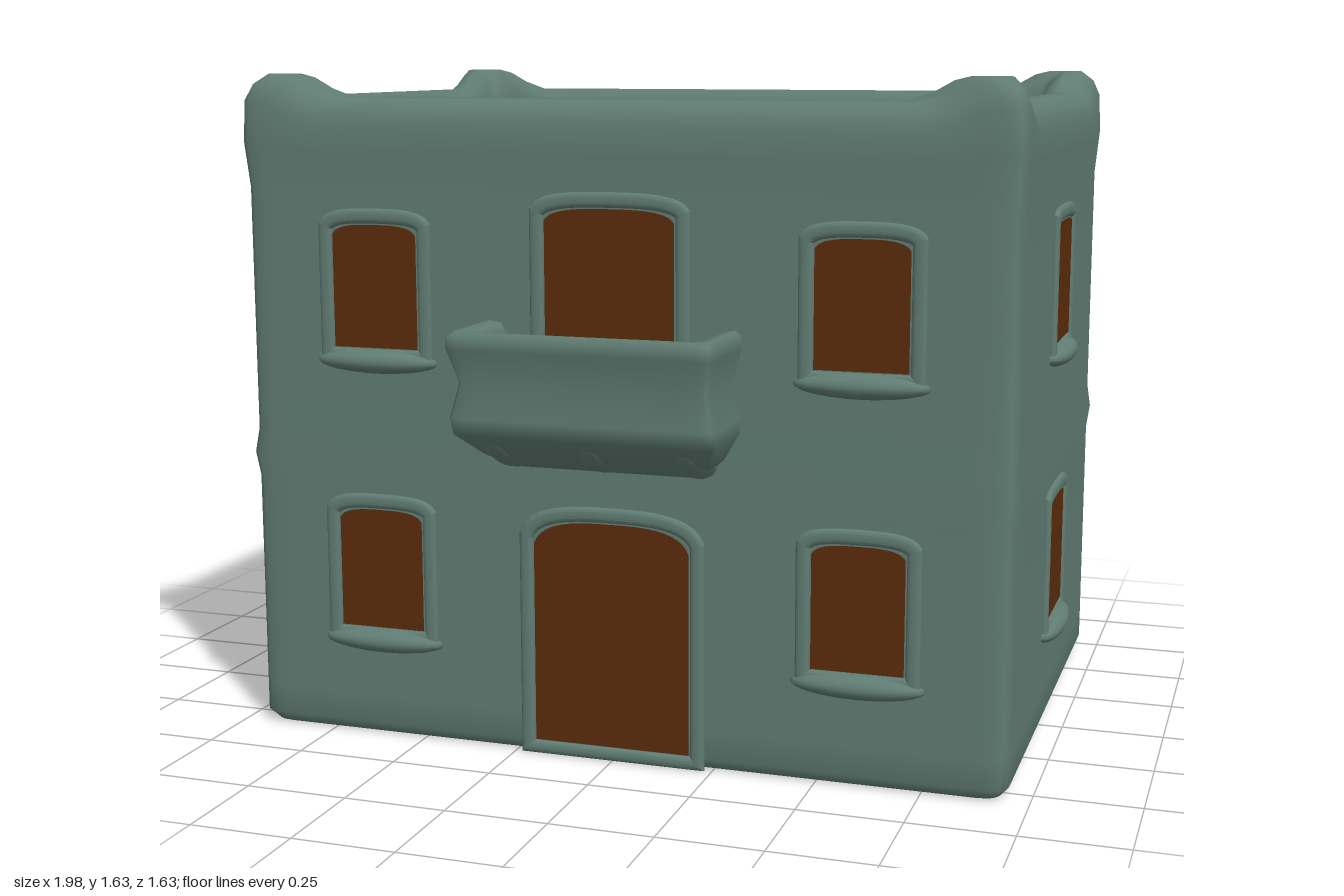
import * as THREE from 'three';

const stone = new THREE.MeshStandardMaterial({ color: 0x607c72 });
stone.name = 'greyGreenStone';
const brown = new THREE.MeshStandardMaterial({ color: 0x5b2b0b });
brown.name = 'brownOpening';

const add = (parent, name, geometry, material) => {
  const mesh = new THREE.Mesh(geometry, material);
  mesh.name = name;
  parent.add(mesh);
  return mesh;
};

// Skin over rounded-rectangle rings: { x, z: half sizes, y, cz: centre z, r: corner radius, lift }
function loft(rings, perSide = 28) {
  const pos = [], index = [], n = perSide * 4;
  for (const { x: hx, z: hz, y, cz = 0, r = 0.04, lift = 0 } of rings) {
    const rad = Math.min(r, hx, hz);
    for (let i = 0; i < n; i++) {
      const side = Math.floor(i / perSide);
      const t = Math.sin((((i % perSide) / perSide) * 2 - 1) * Math.PI / 2);
      const [u, v] = [[t, 1], [1, -t], [-t, -1], [-1, t]][side];
      const qx = u * hx, qz = v * hz;
      const px = THREE.MathUtils.clamp(qx, -hx + rad, hx - rad);
      const pz = THREE.MathUtils.clamp(qz, -hz + rad, hz - rad);
      const d = Math.hypot(qx - px, qz - pz);
      const k = d > 1e-6 ? rad / d : 0;
      // raised rim corners
      const corner = THREE.MathUtils.smoothstep(Math.abs(qx), hx - 0.19, hx - 0.05)
        * THREE.MathUtils.smoothstep(Math.abs(qz), hz - 0.19, hz - 0.05);
      pos.push(px + (qx - px) * k, y + lift * corner, cz + pz + (qz - pz) * k);
    }
  }
  for (let j = 0; j < rings.length - 1; j++) {
    for (let i = 0; i < n; i++) {
      const a = j * n + i, b = j * n + (i + 1) % n;
      index.push(a, b, a + n, b, b + n, a + n);
    }
  }
  const g = new THREE.BufferGeometry();
  g.setAttribute('position', new THREE.Float32BufferAttribute(pos, 3));
  g.setIndex(index);
  g.computeVertexNormals();
  return g;
}

// Opening outline with a shallow arched head
function outline(Type, w, y0, y1, arch) {
  const h = w / 2;
  const s = new Type();
  s.moveTo(-h, y0);
  s.lineTo(h, y0);
  s.lineTo(h, y1 - arch);
  s.bezierCurveTo(h * 0.9, y1, h * 0.4, y1, 0, y1);
  s.bezierCurveTo(-h * 0.4, y1, -h * 0.9, y1, -h, y1 - arch);
  s.closePath();
  return s;
}

// One opening on a wall whose plane is local z = 0
function opening(wall, name, x, w, y0, y1, arch, sill) {
  const g = new THREE.Group();
  g.name = name;
  g.position.x = x;
  wall.add(g);
  const pane = add(g, name + 'Panel', new THREE.ShapeGeometry(outline(THREE.Shape, w, y0, y1, arch)), brown);
  pane.position.z = 0.006;
  // low, softly bevelled surround
  const surround = outline(THREE.Shape, w + 0.045, y0 - 0.02, y1 + 0.024, arch);
  surround.holes.push(outline(THREE.Path, w + 0.036, y0 - 0.018, y1 + 0.018, arch));
  const frame = add(g, name + 'Surround', new THREE.ExtrudeGeometry(surround, {
    depth: 0.002, bevelEnabled: true, bevelThickness: 0.01, bevelSize: 0.015, bevelSegments: 4, curveSegments: 10,
  }), stone);
  frame.position.z = 0.001;
  if (sill) {
    const s = add(g, 'windowSill', new THREE.SphereGeometry(1, 20, 12), stone);
    s.scale.set(w / 2 + 0.05, 0.03, 0.042);
    s.position.y = y0 - 0.033;
  }
}

function makeWall(house, name, angle, distance) {
  const wall = new THREE.Group();
  wall.name = name;
  wall.rotation.y = angle;
  wall.position.set(Math.sin(angle) * distance, 0, Math.cos(angle) * distance);
  house.add(wall);
  return wall;
}

export function createModel() {
  const model = new THREE.Group();
  model.name = 'house';
  const house = new THREE.Group();
  house.name = 'building';
  house.position.z = -0.1;
  model.add(house);

  // Hollow upper storey, open at the top: [side inset, front and back inset, y, corner lift]
  const shell = [
    [0.68, 0.68, 0, 0], [0.06, 0.06, 0, 0], [0.02, 0.02, 0.003, 0], [0, 0, 0.03, 0], [0, 0, 0.1, 0],
    [0, 0, 0.64, 0], [-0.008, -0.008, 0.7, 0], [0, 0, 0.76, 0], [0, 0, 1.36, 0],
    [-0.01, -0.008, 1.45, 0.02], [-0.006, -0.006, 1.52, 0.05], [0.01, 0.01, 1.555, 0.055],
    [0.04, 0.035, 1.577, 0.058], [0.08, 0.07, 1.58, 0.055], [0.115, 0.098, 1.56, 0.045],
    [0.135, 0.115, 1.52, 0.02], [0.148, 0.122, 1.42, 0], [0.154, 0.126, 1.2, 0],
    [0.158, 0.13, 0.73, 0], [0.175, 0.145, 0.705, 0], [0.21, 0.18, 0.7, 0], [0.68, 0.68, 0.7, 0],
  ];
  add(house, 'walls', loft(shell.map(([dx, dz, y, lift]) =>
    ({ x: 0.95 - dx, z: 0.68 - dz, y, lift, r: 0.045 }))), stone);

  // Front and back openings
  for (const [name, angle, doorBase] of [['frontWall', 0, 0.93], ['backWall', Math.PI, 0.98]]) {
    const wall = makeWall(house, name, angle, 0.68);
    for (const x of [-0.6, 0.6])
      for (const y of [0.28, 0.98]) opening(wall, 'window', x, 0.22, y, y + 0.298, 0.025, true);
    opening(wall, 'door', 0, 0.39, 0.036, 0.585, 0.06, false);
    opening(wall, 'upperDoor', 0, 0.32, doorBase, 1.33, 0.03, false);
  }

  // Side windows
  for (const [name, angle] of [['leftWall', Math.PI / 2], ['rightWall', -Math.PI / 2]]) {
    const wall = makeWall(house, name, angle, 0.95);
    for (const y of [0.28, 0.98]) opening(wall, 'window', 0, 0.25, y, y + 0.298, 0.012, true);
  }

  // Balcony tub: [half width, back z, front z, y]
  const tub = [
    [0, 0.6, 0.6, 0.715], [0.24, 0.54, 0.62, 0.72], [0.28, 0.54, 0.7, 0.76], [0.315, 0.54, 0.79, 0.82],
    [0.318, 0.54, 0.8, 0.86], [0.3, 0.54, 0.785, 0.94], [0.32, 0.54, 0.812, 1.02], [0.32, 0.54, 0.812, 1.05],
    [0.305, 0.55, 0.795, 1.06], [0.275, 0.56, 0.75, 1.055], [0.26, 0.56, 0.73, 1.03], [0.25, 0.56, 0.722, 0.93],
    [0.22, 0.57, 0.7, 0.92], [0, 0.64, 0.64, 0.92],
  ];
  add(model, 'balcony', loft(tub.map(([x, back, front, y]) =>
    ({ x, z: (front - back) / 2, cz: (front + back) / 2, y, r: 0.025 })), 14), stone);

  // Brackets under the balcony
  for (const x of [-0.23, 0, 0.23]) {
    const bracket = add(model, 'balconyBracket', new THREE.SphereGeometry(1, 14, 10), stone);
    bracket.scale.set(0.045, 0.045, 0.12);
    bracket.position.set(x, 0.775, 0.65);
    bracket.rotation.x = -0.4;
  }
  return model;
}
